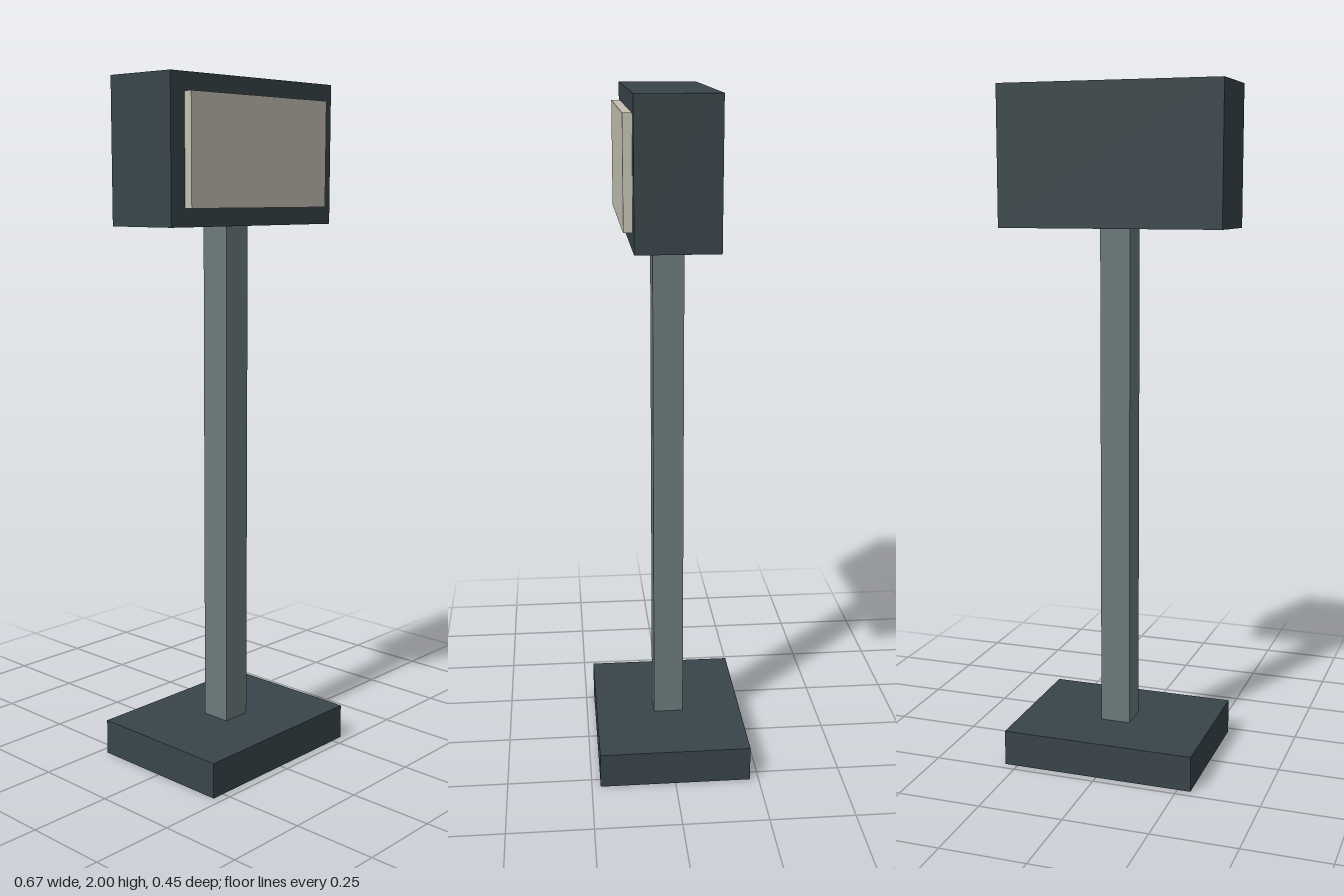
import * as THREE from 'three';

const DARK = 0x38454a, STEEL = 0x6b7a7b, PANEL = 0xc4c0b2;

// Box given by its width, vertical extent and depth extent
function box(name, color, width, [y0, y1], [z0, z1]) {
  const mesh = new THREE.Mesh(
    new THREE.BoxGeometry(width, y1 - y0, z1 - z0),
    new THREE.MeshStandardMaterial({ color })
  );
  mesh.name = name;
  mesh.position.set(0, (y0 + y1) / 2, (z0 + z1) / 2);
  return mesh;
}

export function createModel() {
  const group = new THREE.Group();
  group.name = 'signPost';
  group.add(
    // Heavy foot plate
    box('base', DARK, 0.578, [0, 0.105], [-0.224, 0.224]),
    // Square post, set into the base and the housing
    box('post', STEEL, 0.09, [0.01, 1.61], [-0.045, 0.045]),
    // Display housing
    box('housing', DARK, 0.666, [1.595, 2], [-0.115, 0.115]),
    // Raised display panel on the front
    box('displayPanel', PANEL, 0.562, [1.645, 1.95], [0.1, 0.14])
  );
  return group;
}
